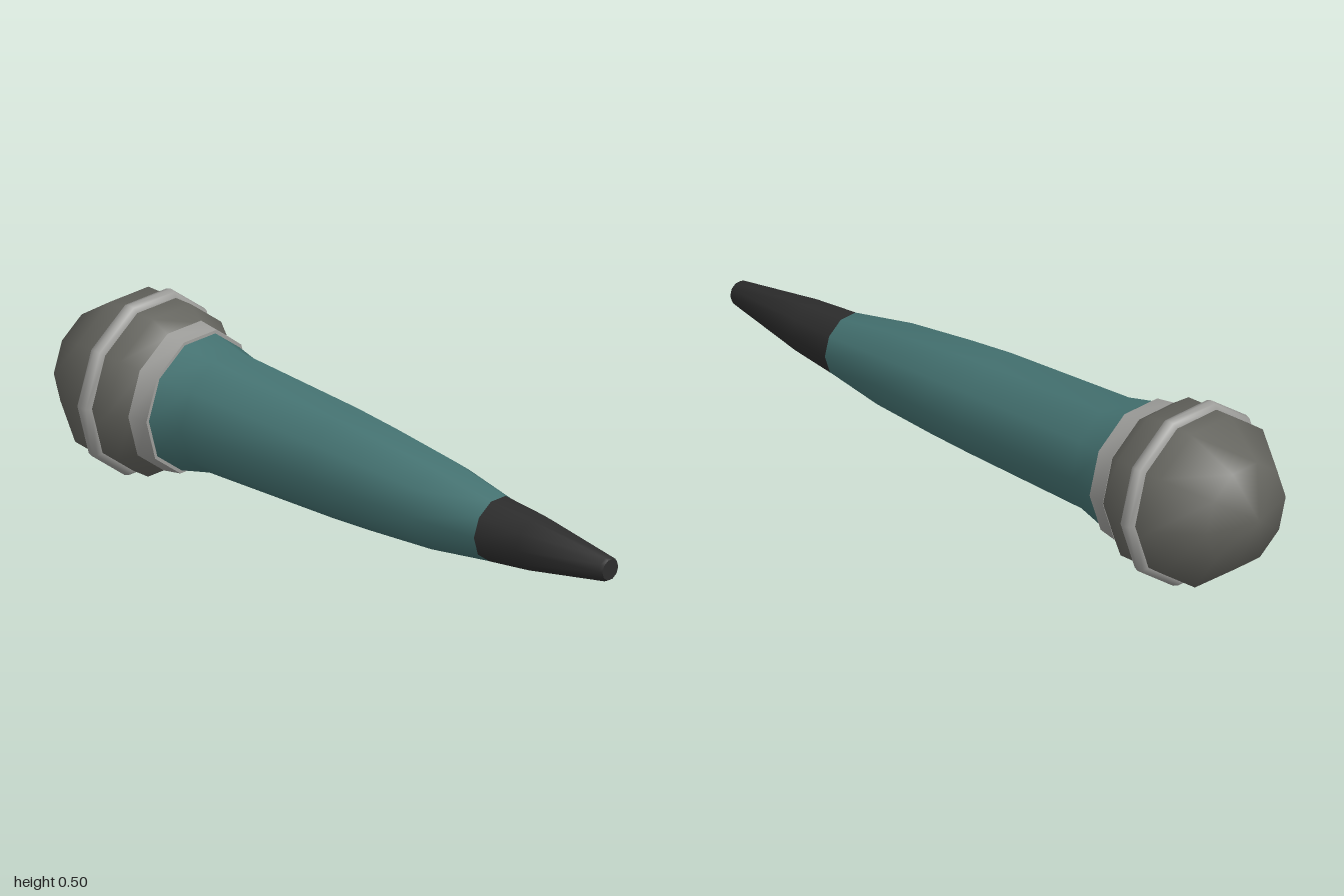
import * as THREE from 'three';
import { mergeVertices, toCreasedNormals } from 'three/addons/utils/BufferGeometryUtils.js';

const SIDES = 10;

// Centre line of the microphone: [z, x, y]
const AXIS = [
  [-1, -0.012, 0.265], [-0.74, 0, 0.2525], [-0.45, 0.011, 0.2475],
  [0, 0.03, 0.228], [0.58, 0.06, 0.197], [1, 0.08, 0.197],
];

function centreAt(z) {
  let i = 0;
  while (i < AXIS.length - 2 && z > AXIS[i + 1][0]) i++;
  const a = AXIS[i], b = AXIS[i + 1], t = (z - a[0]) / (b[0] - a[0]);
  return [a[1] + (b[1] - a[1]) * t, a[2] + (b[2] - a[2]) * t];
}

// Ten-sided turned part from [radius, z] points, laid along the tilted centre line
function turned(name, profile, material) {
  const points = profile.map(([r, z]) => new THREE.Vector2(r, z));
  let geo = new THREE.LatheGeometry(points, SIDES, Math.PI / 2);
  geo.rotateX(Math.PI / 2);
  const p = geo.attributes.position;
  for (let i = 0; i < p.count; i++) {
    const x = p.getX(i), y = p.getY(i), z = p.getZ(i);
    const [cx, cy] = centreAt(z);
    p.setXYZ(i, cx + x, cy + y, z - 0.05 * x + 0.035 * y);
  }
  geo.deleteAttribute('uv');
  geo.deleteAttribute('normal');
  geo = toCreasedNormals(mergeVertices(geo, 1e-5), 1);
  const mesh = new THREE.Mesh(geo, material);
  mesh.name = name;
  return mesh;
}

export function createModel() {
  const mat = (name, color) => {
    const m = new THREE.MeshStandardMaterial({ color });
    m.name = name;
    return m;
  };
  const teal = mat('teal', 0x457372);
  const silver = mat('silver', 0x9e9e9b);
  const grille = mat('grilleGrey', 0x64645e);
  const black = mat('black', 0x2d2d2d);

  const group = new THREE.Group();
  group.name = 'microphone';

  // Round grille: a coarse ball, open where it meets the collar
  const ball = [];
  for (let i = 0; i <= 3; i++) {
    const a = (i * Math.PI) / 5;
    ball.push([0.258 * Math.sin(a), -0.74 - 0.26 * Math.cos(a)]);
  }
  ball.push([0.208, -0.605]);

  // Band around the widest part of the grille
  const band = [];
  for (let i = 0; i <= 10; i++) {
    const a = (i / 10) * Math.PI * 2;
    band.push([0.238 + 0.027 * Math.cos(a), -0.742 + 0.027 * Math.sin(a)]);
  }

  group.add(
    turned('grille', ball, grille),
    turned('grilleBand', band, silver),
    turned('collar', [[0.19, -0.612], [0.213, -0.61], [0.204, -0.55], [0.188, -0.549]], silver),
    turned('handle', [
      [0.197, -0.56], [0.172, -0.45], [0.155, 0], [0.145, 0.15], [0.126, 0.37], [0.092, 0.58],
    ], teal),
    // Tapered tail with a flat end
    turned('tail', [
      [0.08, 0.575], [0.093, 0.576], [0.079, 0.72], [0.036, 0.99], [0.031, 1], [0, 1],
    ], black),
  );
  return group;
}
